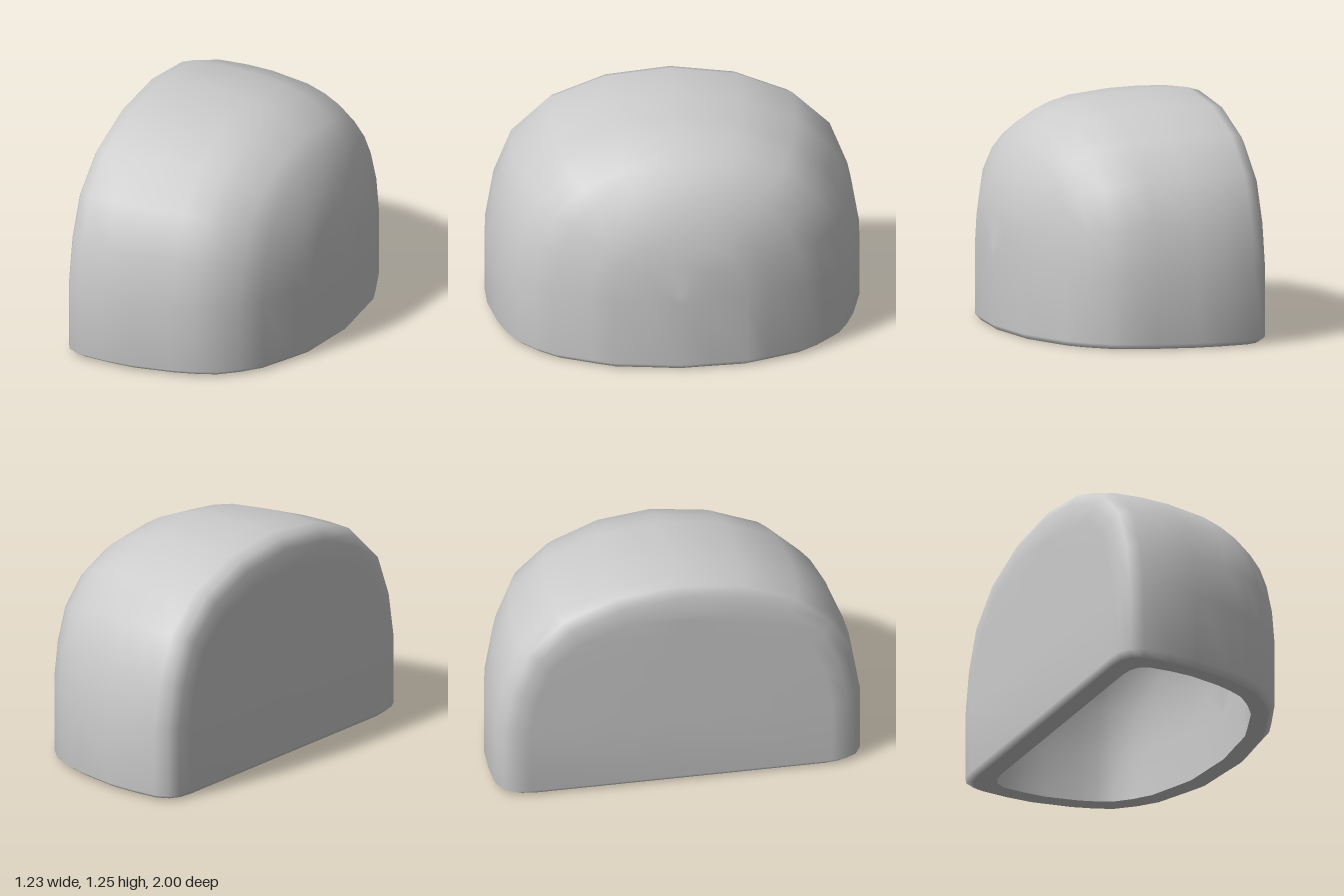
import * as THREE from 'three';
import { mergeVertices } from 'three/addons/utils/BufferGeometryUtils.js';

// Cross-sections from the flat back to the curved nose: [x, half width, height]
const SECTIONS = [
  [-0.613, 0, 1.07], [-0.613, 0.82, 1.07], [-0.602, 0.9, 1.17], [-0.57, 0.955, 1.228],
  [-0.505, 0.99, 1.248], [-0.35, 1, 1.253], [-0.19, 0.995, 1.25], [0.04, 0.95, 1.23],
  [0.16, 0.91, 1.2], [0.26, 0.865, 1.16], [0.36, 0.775, 1.1], [0.445, 0.67, 1.03],
  [0.53, 0.47, 0.88], [0.573, 0.36, 0.74], [0.594, 0.16, 0.62], [0.613, 0, 0.42],
];
// Half of the unit arch above the straight sides: [width, rise]
const ARCH = [[1, 0], [0.955, 0.31], [0.86, 0.59], [0.66, 0.81], [0.36, 0.95], [0, 1]];

// Loft of arched sections; bevel draws the lower edge inwards
function loft(sections, shoulder, bevel, inward) {
  const pos = [], index = [];
  const n = 2 * (ARCH.length + 2) - 1;
  for (const [x, w, h] of sections) {
    const half = [
      [x * (1 - bevel), 0, w * (1 - bevel)],
      [x, 0.03, w],
      ...ARCH.map(([a, f]) => [x, shoulder + (h - shoulder) * f, w * a]),
    ];
    const mirrored = half.slice(0, -1).reverse().map(([px, y, z]) => [px, y, -z]);
    for (const p of [...half, ...mirrored]) pos.push(...p);
  }
  for (let i = 0; i < sections.length - 1; i++) {
    for (let j = 0; j < n - 1; j++) {
      const a = i * n + j, b = a + n, c = b + 1, d = a + 1;
      if (inward) index.push(a, d, b, b, d, c);
      else index.push(a, b, d, b, c, d);
    }
  }
  const geo = new THREE.BufferGeometry();
  geo.setAttribute('position', new THREE.Float32BufferAttribute(pos, 3));
  geo.setIndex(index);
  const merged = mergeVertices(geo, 1e-4);
  merged.computeVertexNormals();
  return merged;
}

// Outline of a shell's foot in plan, as a closed loop
function footOutline(sections, bevel) {
  const side = sections.slice(1).map(([x, w]) => new THREE.Vector2(x * (1 - bevel), w * (1 - bevel)));
  const other = side.slice(0, -1).reverse().map((p) => new THREE.Vector2(p.x, -p.y));
  return [...side, ...other];
}

export function createModel() {
  const group = new THREE.Group();
  group.name = 'hollowHalfDome';
  const material = new THREE.MeshStandardMaterial({ color: 0xcccccc });
  const add = (name, geometry) => {
    const mesh = new THREE.Mesh(geometry, material);
    mesh.name = name;
    group.add(mesh);
  };

  const bevel = 0.045;
  const innerSections = SECTIONS.map(([x, w, h]) => [x * 0.79, w * 0.86, h - 0.13]);

  // Outer and inner skins
  add('outerShell', loft(SECTIONS, 0.4, bevel, false));
  add('innerShell', loft(innerSections, 0.28, 0, true));

  // Flat rim around the open underside
  const rim = new THREE.Shape(footOutline(SECTIONS, bevel));
  rim.holes.push(new THREE.Path(footOutline(innerSections, 0)));
  add('bottomRim', new THREE.ShapeGeometry(rim).rotateX(Math.PI / 2));

  return group;
}
